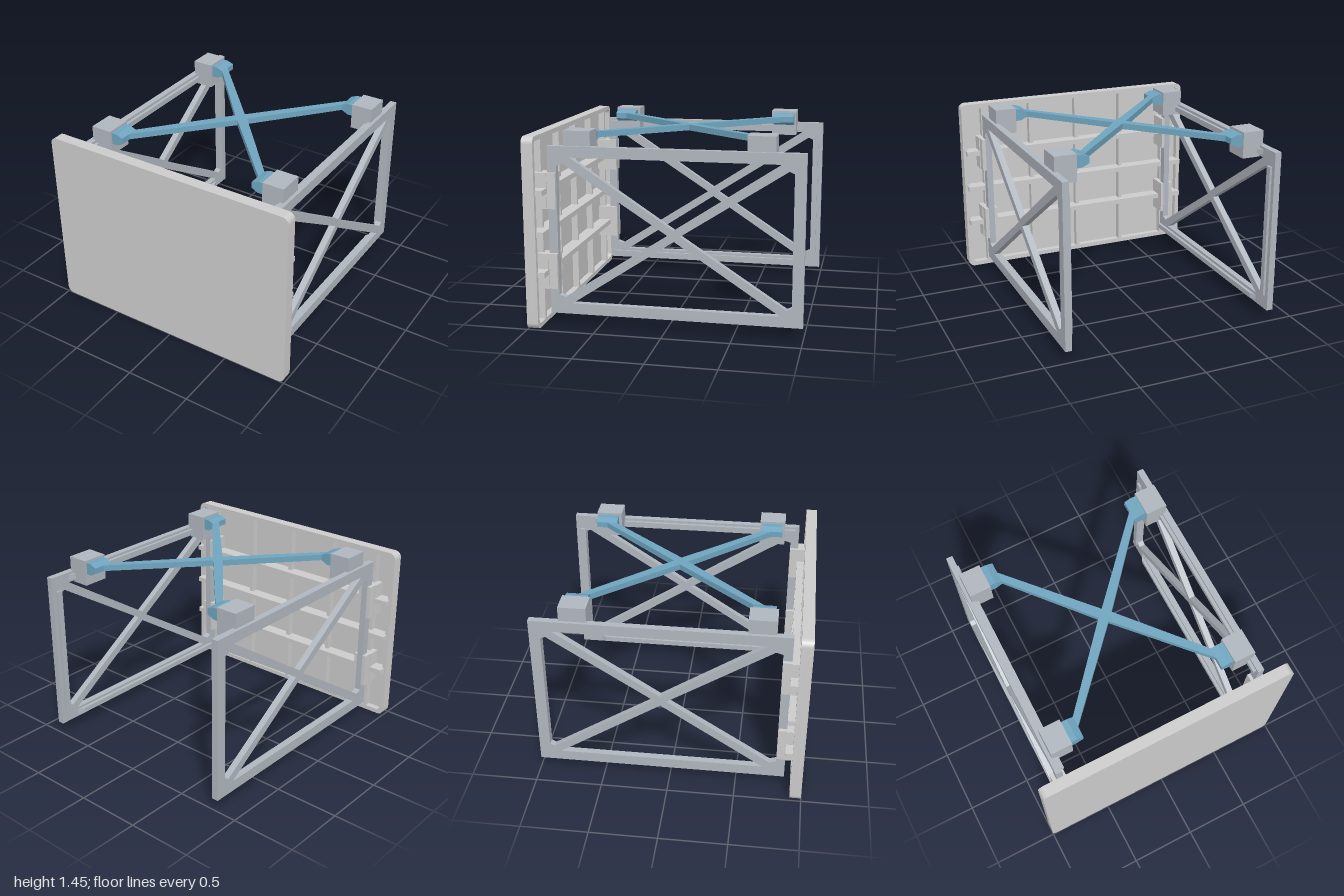
import * as THREE from 'three';
import { toCreasedNormals } from 'three/addons/utils/BufferGeometryUtils.js';

const grey = new THREE.MeshStandardMaterial({ color: 0xcccccc });
const steel = new THREE.MeshStandardMaterial({ color: 0xb0b6be });
const blue = new THREE.MeshStandardMaterial({ color: 0x6fa5bf });

const polygon = (pts) => new THREE.Shape(pts.map(([a, b]) => new THREE.Vector2(a, b)));

function add(parent, name, geometry, material) {
  const mesh = new THREE.Mesh(geometry, material);
  mesh.name = name;
  parent.add(mesh);
  return mesh;
}

// Box given by its limits on each axis
function box(parent, name, material, [x0, x1], [y0, y1], [z0, z1]) {
  const g = new THREE.BoxGeometry(Math.abs(x1 - x0), y1 - y0, z1 - z0);
  g.translate((x0 + x1) / 2, (y0 + y1) / 2, (z0 + z1) / 2);
  return add(parent, name, g, material);
}

const extrude = (shape, depth) =>
  new THREE.ExtrudeGeometry(shape, { depth, bevelEnabled: false, curveSegments: 8 });

// Horizontal slab: outline in x, z with thickness from y0 to y1
function slab(parent, name, material, pts, y0, y1) {
  const g = extrude(polygon(pts.map(([x, z]) => [x, -z])), y1 - y0);
  g.rotateX(-Math.PI / 2).translate(0, y0, 0);
  return add(parent, name, g, material);
}

// Rounded rectangle centred on x = 0
function roundedRect(w, y0, y1, r) {
  const s = new THREE.Shape();
  s.absarc(w - r, y0 + r, r, -Math.PI / 2, 0);
  s.absarc(w - r, y1 - r, r, 0, Math.PI / 2);
  s.absarc(-w + r, y1 - r, r, Math.PI / 2, Math.PI);
  s.absarc(-w + r, y0 + r, r, Math.PI, Math.PI * 1.5);
  s.closePath();
  return s;
}

// Front panel: plate, raised rim and rib grid on the back
function buildPanel() {
  const panel = new THREE.Group();
  panel.name = 'frontPanel';
  const plate = extrude(roundedRect(1, 0, 1.42, 0.05), 0.035).translate(0, 0, 0.965);
  add(panel, 'plate', toCreasedNormals(plate, 0.6), grey);
  const rimShape = roundedRect(1, 0, 1.42, 0.05);
  rimShape.holes.push(roundedRect(0.965, 0.035, 1.385, 0.03));
  const rim = extrude(rimShape, 0.05).translate(0, 0, 0.915);
  add(panel, 'rim', toCreasedNormals(rim, 0.6), grey);
  for (const y of [0.41, 0.71, 1.015])
    box(panel, 'horizontalRib', grey, [-0.98, 0.98], [y - 0.02, y + 0.02], [0.862, 0.97]);
  for (const x of [-0.82, -0.41, 0, 0.41, 0.82])
    box(panel, 'verticalRib', grey, [x - 0.015, x + 0.015], [0.03, 1.39], [0.915, 0.97]);
  return panel;
}

// Side frame with crossed braces, inner stiffeners and panel clips
function buildSide(s) {
  const side = new THREE.Group();
  side.name = s > 0 ? 'leftSide' : 'rightSide';

  const shape = polygon([[-0.995, 0.087], [0.866, 0.087], [0.866, 1.337], [-0.995, 1.337]]);
  const openings = [
    [[0.7, 1.257], [-0.83, 1.257], [-0.064, 0.753]],
    [[0.7, 0.168], [-0.83, 0.168], [-0.064, 0.674]],
    [[0.75, 1.21], [-0.02, 0.713], [0.75, 0.213], [0.8, 0.23], [0.8, 1.195]],
    [[-0.877, 1.21], [-0.108, 0.713], [-0.877, 0.213], [-0.914, 0.23], [-0.914, 1.195]],
  ];
  for (const o of openings) shape.holes.push(polygon(o));
  const g = extrude(shape, 0.05).rotateY(-Math.PI / 2).translate(s > 0 ? 0.84 : -0.79, 0, 0);
  add(side, 'crossBracedFrame', g, steel);

  // Stiffeners on the inner face
  const taper = [[0.795, -0.84], [0.765, -0.78], [0.765, 0.84], [0.795, 0.84]];
  for (const y of [0.107, 1.277])
    slab(side, 'innerStiffener', steel, taper.map(([x, z]) => [s * x, z]), y, y + 0.04);
  box(side, 'rearStiffener', steel, [s * 0.772, s * 0.795], [0.2, 1.22], [-0.96, -0.915]);

  // Clips gripping the front bar
  for (const y of [0.28, 0.88]) {
    const yr = [y, y + 0.265];
    box(side, 'clipBase', grey, [s * 0.765, s * 0.877], yr, [0.865, 0.97]);
    box(side, 'clipInnerJaw', grey, [s * 0.765, s * 0.79], yr, [0.8, 0.865]);
    box(side, 'clipOuterJaw', grey, [s * 0.84, s * 0.87], yr, [0.8, 0.865]);
  }

  // Corner blocks hooked over the top bar
  for (const z of [-0.68, 0.65]) {
    const zr = [z - 0.1, z + 0.1];
    box(side, 'cornerBlock', steel, [s * 0.65, s * 0.79], [1.25, 1.447], zr);
    box(side, 'cornerBlockHook', steel, [s * 0.79, s * 0.815], [1.337, 1.447], zr);
  }
  return side;
}

// Horizontal cross brace with flared end pads
function buildCross() {
  const cross = new THREE.Group();
  cross.name = 'topCrossBrace';
  const half = [[0, -0.068], [0.556, -0.684], [0.556, -0.604], [0.053, -0.015],
    [0.556, 0.567], [0.556, 0.647], [0, 0.04]];
  const mirrored = half.slice(1, -1).reverse().map(([x, z]) => [-x, z]);
  slab(cross, 'crossArms', blue, [...half, ...mirrored], 1.365, 1.41);
  const pad = [[0.66, 1.34], [0.605, 1.34], [0.554, 1.365], [0.554, 1.41], [0.605, 1.43], [0.66, 1.43]];
  for (const s of [-1, 1])
    for (const z of [-0.684, 0.65]) {
      const g = extrude(polygon(pad.map(([x, y]) => [s * x, y])), 0.164);
      add(cross, 'endPad', g.translate(0, 0, z - 0.082), blue);
    }
  return cross;
}

export function createModel() {
  const model = new THREE.Group();
  model.name = 'bracedPanelStand';
  model.add(buildPanel(), buildSide(1), buildSide(-1), buildCross());
  return model;
}
